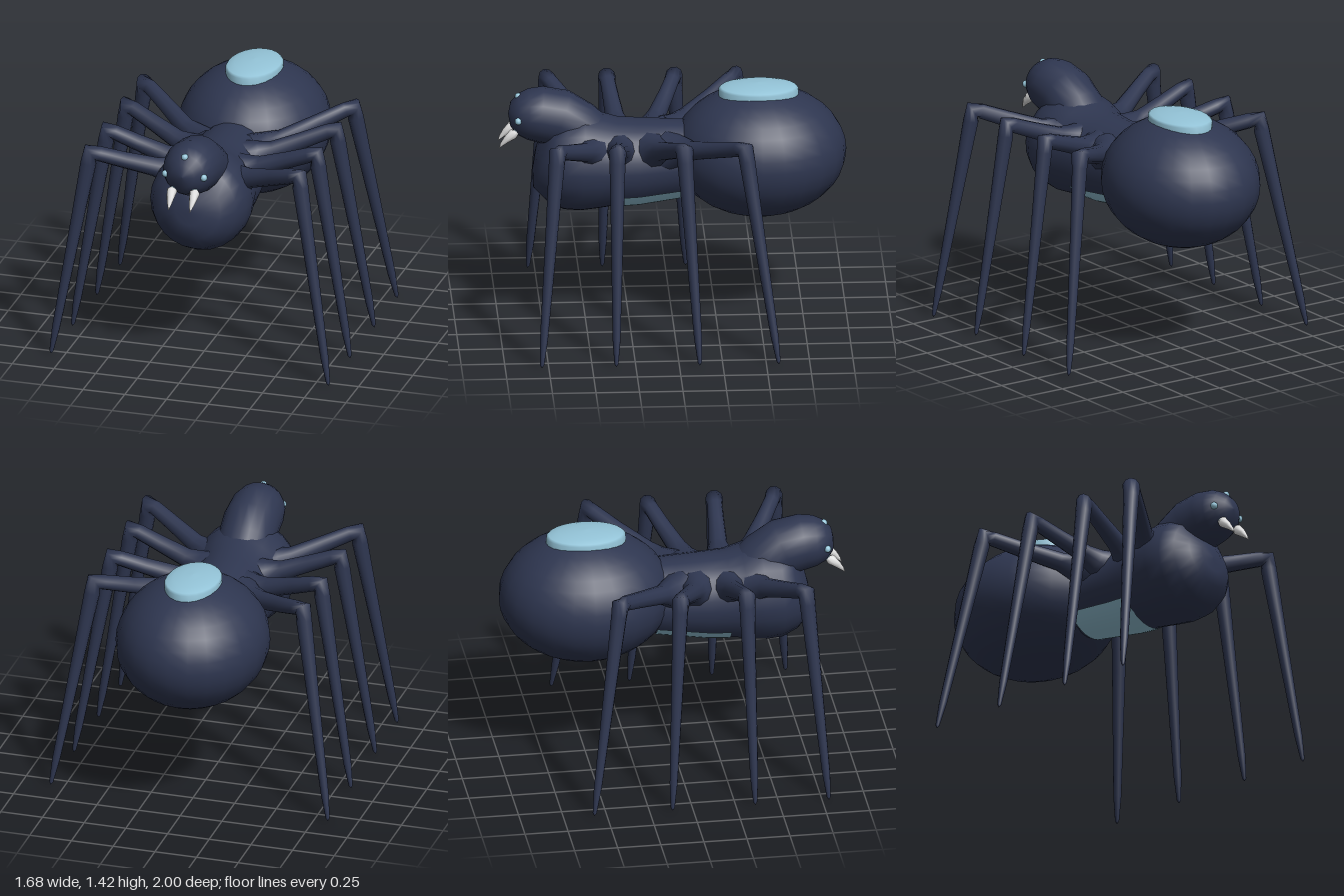
import * as THREE from 'three';

const material = (name, color) => {
  const m = new THREE.MeshStandardMaterial({ color });
  m.name = name;
  return m;
};

// Round tapered skin along a path; arc limits let it cover only part of the way round.
function taper(points, radii, ref, sides = 20, a0 = 0, a1 = Math.PI * 2) {
  const path = points.map(p => new THREE.Vector3(...p));
  const whole = a1 - a0 > 6.28;
  const cols = whole ? sides : sides + 1;
  const pos = [], index = [];
  path.forEach((c, i) => {
    const prev = path[Math.max(i - 1, 0)], next = path[Math.min(i + 1, path.length - 1)];
    const before = c.clone().sub(prev).normalize(), after = next.clone().sub(c).normalize();
    const t = before.add(after).normalize();
    const u = ref.clone().addScaledVector(t, -ref.dot(t)).normalize();
    const v = t.clone().cross(u);
    for (let j = 0; j < cols; j++) {
      const a = a0 + (a1 - a0) * j / sides;
      const p = c.clone().addScaledVector(u, radii[i] * Math.cos(a)).addScaledVector(v, radii[i] * Math.sin(a));
      pos.push(p.x, p.y, p.z);
    }
  });
  for (let i = 0; i < path.length - 1; i++) {
    for (let j = 0; j < sides; j++) {
      const k = (j + 1) % cols;
      const a = i * cols + j, b = i * cols + k, c = a + cols, d = b + cols;
      index.push(a, b, c, b, d, c);
    }
  }
  const g = new THREE.BufferGeometry();
  g.setAttribute('position', new THREE.Float32BufferAttribute(pos, 3));
  g.setIndex(index);
  g.computeVertexNormals();
  return g;
}

export function createModel() {
  const model = new THREE.Group();
  const navy = material('dark navy', 0x2e3650);
  const blue = material('pale blue', 0x94c4d8);
  const ivory = material('fang white', 0xdedede);
  const X = new THREE.Vector3(1, 0, 0), Z = new THREE.Vector3(0, 0, 1);

  const add = (name, geometry, mat, parent = model) => {
    const mesh = new THREE.Mesh(geometry, mat);
    mesh.name = name;
    parent.add(mesh);
    return mesh;
  };

  // Abdomen with a raised oval marking on top
  const abdomen = new THREE.SphereGeometry(1, 24, 18);
  abdomen.scale(0.44, 0.38, 0.5);
  add('abdomen', abdomen, navy).position.set(0, 1.02, -0.5);

  const profile = [[1, -0.02], [1, 0.035], [0.94, 0.046], [0.7, 0.059], [0.35, 0.067], [0, 0.07]];
  const marking = new THREE.LatheGeometry(profile.map(p => new THREE.Vector2(...p)), 24);
  marking.scale(0.16, 1, 0.23);
  add('abdomenMarking', marking, blue).position.set(0, 1.36, -0.495);

  // Waist and chest: z, y, radius
  const body = [
    [-0.25, 0.99, 0.2], [-0.1, 0.98, 0.22], [0, 0.975, 0.23], [0.2, 0.965, 0.25],
    [0.32, 0.965, 0.257], [0.42, 0.97, 0.278], [0.52, 0.98, 0.297], [0.62, 0.98, 0.288],
    [0.7, 0.985, 0.25], [0.76, 0.99, 0.175], [0.785, 1, 0.09], [0.792, 1, 0],
  ];
  add('chest', taper(body.map(([z, y]) => [0, y, z]), body.map(s => s[2]), X, 24), navy);

  // Belly marking follows the underside of the waist
  const belly = body.slice(1, 5);
  const half = 0.95;
  add('bellyMarking', taper(belly.map(([z, y]) => [0, y, z]), belly.map(s => s[2] + 0.006), X, 12,
    -Math.PI / 2 - half, -Math.PI / 2 + half), blue);

  // Neck rising into a blunt head: z, y, radius
  const head = [
    [0.36, 0.96, 0.17], [0.45, 1.06, 0.168], [0.55, 1.17, 0.165], [0.65, 1.235, 0.166],
    [0.76, 1.257, 0.162], [0.83, 1.26, 0.148], [0.89, 1.262, 0.118], [0.93, 1.265, 0.07], [0.943, 1.265, 0],
  ];
  add('head', taper(head.map(([z, y]) => [0, y, z]), head.map(s => s[2]), X), navy);

  // Eyes: one on the brow, a pair at the sides and a pair above the fangs
  const eyeGeometry = new THREE.SphereGeometry(0.021, 10, 8);
  const eyes = [[0, 1.368, 0.885], [0.115, 1.257, 0.89], [-0.115, 1.257, 0.89], [0.06, 1.178, 0.895], [-0.06, 1.178, 0.895]];
  eyes.forEach(p => add('eye', eyeGeometry, blue).position.set(...p));

  // Leg stations: z of hip, shoulder of the leg, knee and foot
  const legs = [
    [0.44, 0.51, 0.69, 0.79], [0.31, 0.315, 0.345, 0.362],
    [0.12, 0.08, -0.04, -0.118], [0.02, -0.1, -0.39, -0.572],
  ];
  for (const side of [1, -1]) {
    const s = side > 0 ? 'left' : 'right';

    // Curved fang
    add(s + 'Fang', taper(
      [[0.068, 1.185, 0.88], [0.068, 1.165, 0.915], [0.067, 1.13, 0.955], [0.065, 1.1, 0.982], [0.064, 1.075, 1]]
        .map(([x, y, z]) => [x * side, y, z]),
      [0, 0.031, 0.021, 0.011, 0], X, 8), ivory);

    legs.forEach(([hip, shoulder, knee, foot], i) => {
      // Point part way down the shin
      const shin = t => [0.625 + 0.207 * t, 1.245 - 1.235 * t, knee + (foot - knee) * t];
      const mid = t => shoulder + (knee - shoulder) * t;
      const points = [
        [0.15, 1.07, hip], [0.22, 1.1, hip + (shoulder - hip) * 0.6], [0.29, 1.125, shoulder],
        [0.45, 1.185, mid(0.5)], [0.58, 1.235, mid(0.88)], [0.628, 1.248, knee],
        shin(0.05), shin(0.3), shin(0.6), shin(0.87), shin(0.985), shin(1),
      ].map(([x, y, z]) => [x * side, y, z]);
      const radii = [0.12, 0.08, 0.056, 0.048, 0.044, 0.052, 0.046, 0.038, 0.03, 0.023, 0.012, 0];
      add(s + 'Leg' + (i + 1), taper(points, radii, Z, 10), navy);
    });
  }
  return model;
}
